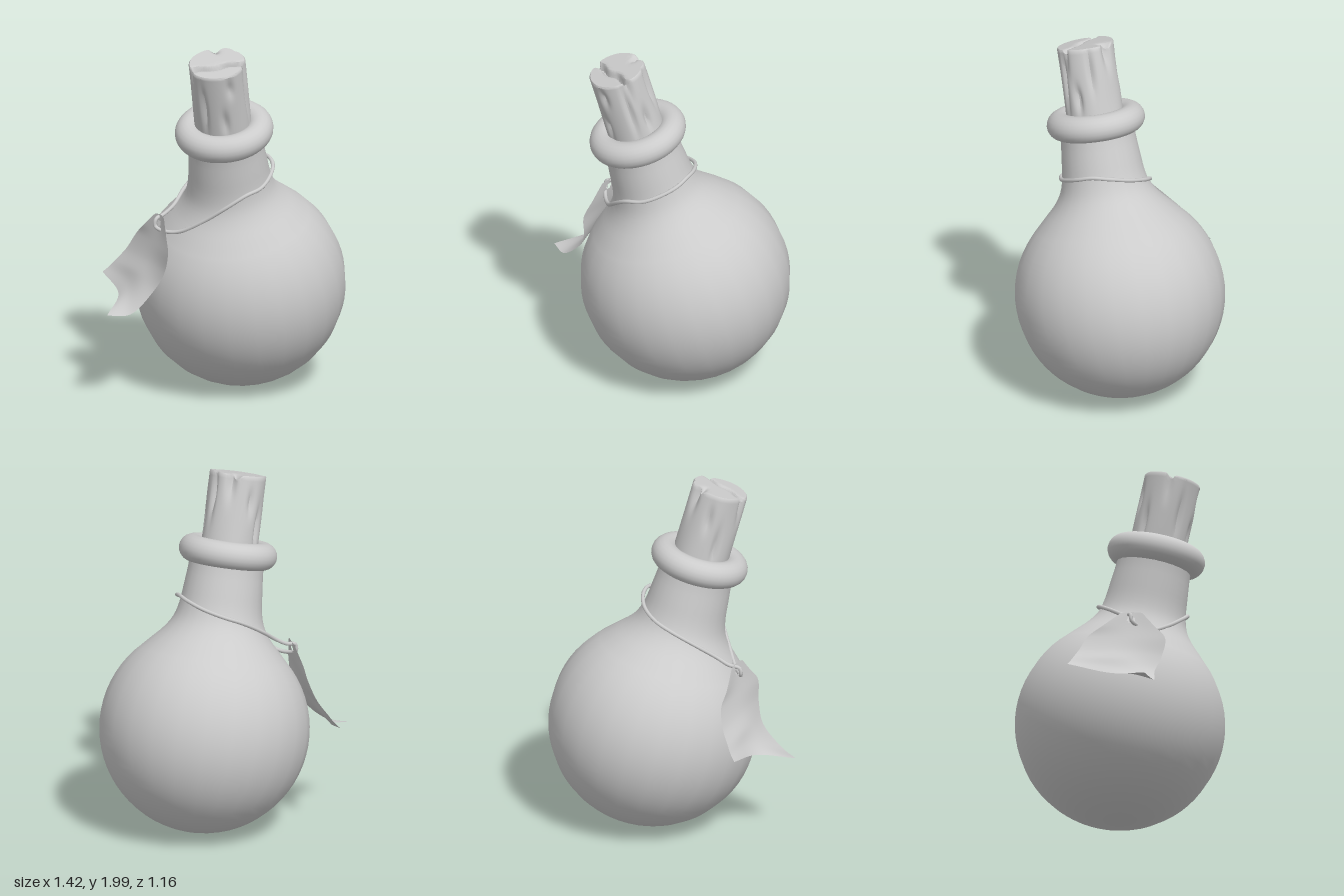
import * as THREE from 'three';
import { mergeVertices, toCreasedNormals } from 'three/addons/utils/BufferGeometryUtils.js';

const V3 = (p) => new THREE.Vector3(...p);
const mat = () => new THREE.MeshStandardMaterial({ color: 0xcccccc, side: THREE.DoubleSide });
const gauss = (d, w) => Math.exp(-(d * d) / (w * w));

function part(name, geometry) {
  const m = new THREE.Mesh(geometry, mat());
  m.name = name;
  return m;
}

// Round bulb flowing into a narrow neck, y measured from the bulb centre
function flaskGeometry() {
  const R = 0.58, pts = [];
  for (let i = 0; i <= 24; i++) {
    const a = -Math.PI / 2 + (i / 24) * (Math.PI / 2 + 0.72);
    pts.push(new THREE.Vector2(Math.max(R * Math.cos(a), 0.0001), R * Math.sin(a)));
  }
  const neck = [[0.436, 0.382], [0.362, 0.46], [0.296, 0.53], [0.251, 0.6], [0.229, 0.68],
    [0.218, 0.78], [0.208, 0.88], [0.2, 0.97], [0.145, 0.975]];
  const curve = new THREE.SplineCurve(neck.map((p) => new THREE.Vector2(...p)));
  pts.push(...curve.getPoints(24).slice(1));
  return new THREE.LatheGeometry(pts, 24);
}

// Weathered cork: a cylinder with a crack across the top and dents in the side
function corkGeometry() {
  const r = 0.157, y0 = 0.85, y1 = 1.427, pts = [];
  for (let i = 0; i <= 30; i++) pts.push(new THREE.Vector2(r, y0 + ((y1 - 0.008 - y0) * i) / 30));
  for (let i = 0; i <= 18; i++) pts.push(new THREE.Vector2(Math.max((r - 0.006) * (1 - i / 18), 0.0001), y1));
  let g = new THREE.LatheGeometry(pts, 80);
  g.deleteAttribute('uv');
  g.deleteAttribute('normal');
  g = mergeVertices(g, 1e-5);

  // angle from +x towards +z, height, angular width, half height, depth
  const dents = [
    [1.55, 1.33, 0.13, 0.05, 0.02], [1.85, 1.12, 0.12, 0.07, 0.022], [0.75, 1.25, 0.1, 0.16, 0.025],
    [0.2, 1.14, 0.12, 0.07, 0.025], [-0.4, 1.3, 0.1, 0.12, 0.022], [-1.1, 1.4, 0.16, 0.1, 0.035],
    [-1.9, 1.28, 0.12, 0.07, 0.02], [-2.4, 1.13, 0.1, 0.1, 0.022], [2.6, 1.2, 0.1, 0.12, 0.02],
  ];
  const pos = g.attributes.position;
  for (let i = 0; i < pos.count; i++) {
    let x = pos.getX(i), y = pos.getY(i), z = pos.getZ(i);
    const a = Math.atan2(z, x), rim = Math.hypot(x, z) / r;
    let k = 1 + 0.012 * Math.sin(a * 5 + y * 9);
    for (const [da, dy, w, h, depth] of dents) {
      const d = Math.atan2(Math.sin(a - da), Math.cos(a - da));
      k -= (depth / r) * gauss(d, w) * gauss(y - dy, h) * rim * rim;
    }
    // Crack line with a slightly lower front piece
    const across = -0.28 * x + 0.96 * z - 0.035 + 0.008 * Math.sin(x * 40);
    const top = THREE.MathUtils.smoothstep(y, y1 - 0.22, y1);
    k -= 0.14 * gauss(across, 0.016) * top * rim ** 6;
    if (y > y1 - 0.02) {
      y -= 0.045 * gauss(across, 0.013) + (across > 0 ? 0.008 : 0);
      y -= 0.03 * gauss(x - 0.045, 0.02) * gauss(z + 0.14, 0.04);
    }
    pos.setXYZ(i, x * k, y, z * k);
  }
  return toCreasedNormals(g, 0.7);
}

// Curled paper tag: rows from top to bottom, each with back, middle and front points
function tagGeometry() {
  const rows = [
    [[-0.375, 1.03, -0.02], [-0.37, 1.04, 0.04], [-0.375, 1.035, 0.1]],
    [[-0.4, 0.94, -0.12], [-0.385, 0.95, 0.03], [-0.39, 0.95, 0.165]],
    [[-0.41, 0.87, -0.2], [-0.405, 0.87, 0.02], [-0.405, 0.87, 0.225]],
    [[-0.45, 0.77, -0.25], [-0.435, 0.78, 0], [-0.42, 0.75, 0.205]],
    [[-0.5, 0.7, -0.285], [-0.48, 0.7, -0.01], [-0.47, 0.64, 0.165]],
    [[-0.53, 0.66, -0.305], [-0.52, 0.63, -0.05], [-0.6, 0.525, 0.155]],
    [[-0.56, 0.63, -0.32], [-0.57, 0.575, -0.08], [-0.715, 0.515, 0.096]],
  ];
  const columns = [0, 1, 2].map((c) => new THREE.CatmullRomCurve3(rows.map((row) => V3(row[c]))));
  const nu = 24, nv = 48, verts = [], index = [];
  const hole = V3([-0.378, 0.99, 0.04]);
  for (let j = 0; j <= nv; j++) {
    const across = new THREE.CatmullRomCurve3(columns.map((c) => c.getPoint(j / nv)));
    for (let i = 0; i <= nu; i++) verts.push(across.getPoint(i / nu));
  }
  for (let j = 0; j < nv; j++) {
    for (let i = 0; i < nu; i++) {
      const a = j * (nu + 1) + i, b = a + 1, c = a + nu + 1, d = c + 1;
      const mid = verts[a].clone().add(verts[d]).multiplyScalar(0.5);
      if (mid.distanceTo(hole) > 0.02) index.push(a, c, b, b, c, d);
    }
  }
  const g = new THREE.BufferGeometry().setFromPoints(verts);
  g.setIndex(index);
  g.computeVertexNormals();
  return g;
}

export function createModel() {
  const model = new THREE.Group();
  model.name = 'corkedFlask';

  // Flask, lip and cork share one leaning axis
  const flask = new THREE.Group();
  flask.name = 'leaningFlask';
  flask.position.set(0.13, 0.583, 0);
  flask.quaternion.setFromUnitVectors(new THREE.Vector3(0, 1, 0), V3([-0.186, 0.963, 0.195]).normalize());
  const lip = part('lipRing', new THREE.TorusGeometry(0.198, 0.075, 20, 48).rotateX(Math.PI / 2));
  lip.position.y = 0.984;
  flask.add(part('flaskBody', flaskGeometry()), lip, part('cork', corkGeometry()));
  model.add(flask);

  // Cord slung round the neck and through the tag hole
  const cord = [
    [-0.4, 0.975, 0.04], [-0.36, 0.955, 0.09], [-0.3, 0.965, 0.15], [-0.2, 1.04, 0.25], [-0.1, 1.13, 0.335],
    [0, 1.195, 0.367], [0.1, 1.22, 0.345], [0.18, 1.26, 0.285], [0.232, 1.3, 0.21], [0.24, 1.325, 0.13],
    [0.218, 1.32, 0.04], [0.15, 1.295, -0.06], [0.05, 1.26, -0.117], [-0.05, 1.22, -0.12],
    [-0.18, 1.14, -0.065], [-0.27, 1.07, -0.005], [-0.34, 1.03, 0.015], [-0.395, 1.015, 0.035],
  ];
  const path = new THREE.CatmullRomCurve3(cord.map(V3), true);
  model.add(part('cord', new THREE.TubeGeometry(path, 140, 0.011, 8, true)));

  model.add(part('paperTag', tagGeometry()));
  return model;
}
